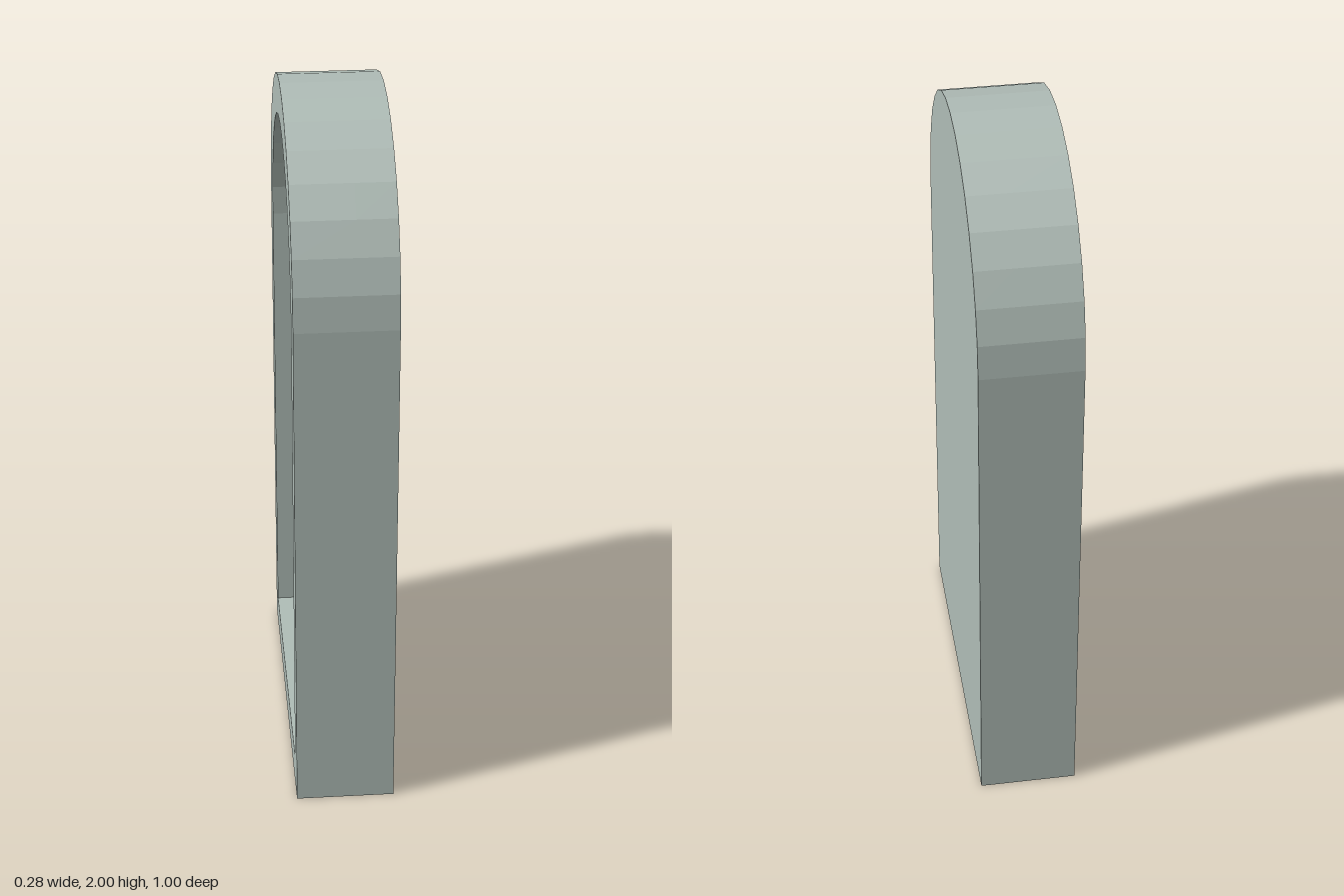
import * as THREE from 'three';

const stone = new THREE.MeshStandardMaterial({ color: 0xb0bdb7, flatShading: true });
stone.name = 'grey stone';
const glass = new THREE.MeshStandardMaterial({ color: 0xdada00, flatShading: true });
glass.name = 'yellow glass';

const FACE = 0.14;      // depth of the frame's open face
const PANE = -0.03;     // depth of the glass
const BAR_FACE = 0.07;  // depth of the bars' faces

// Round-headed outline: straight sides up to the spring line, then a faceted arch
function archPoints(halfWidth, bottom, spring, rise) {
  const points = [new THREE.Vector2(-halfWidth, bottom), new THREE.Vector2(halfWidth, bottom)];
  for (let i = 0; i <= 16; i++) {
    const a = (i / 16) * Math.PI;
    points.push(new THREE.Vector2(halfWidth * Math.cos(a), spring + rise * Math.sin(a)));
  }
  return points;
}

export function createModel() {
  const model = new THREE.Group();
  model.name = 'archedWindow';

  const add = (name, geometry, material) => {
    const mesh = new THREE.Mesh(geometry, material);
    mesh.name = name;
    model.add(mesh);
  };
  const extrude = (shape, from, to) =>
    new THREE.ExtrudeGeometry(shape, { depth: to - from, bevelEnabled: false }).translate(0, 0, from);
  const bar = (name, width, y0, y1) => {
    const depth = BAR_FACE - PANE;
    add(name, new THREE.BoxGeometry(width, y1 - y0, depth)
      .translate(0, (y0 + y1) / 2, PANE + depth / 2), stone);
  };

  const outer = archPoints(0.5, 0, 1.5, 0.5);
  const inner = archPoints(0.425, 0.09, 1.44, 0.45);

  // Solid back and open frame
  add('backSlab', extrude(new THREE.Shape(outer), -FACE, PANE), stone);
  const frame = new THREE.Shape(outer);
  frame.holes.push(new THREE.Path(inner));
  add('frame', extrude(frame, PANE, FACE), stone);

  // Recessed glass
  add('pane', extrude(new THREE.Shape(inner), PANE, PANE + 0.004), glass);

  // Upright and crossbars
  bar('uprightBar', 0.138, 0.09, 1.89);
  [[0.545, 0.68], [1.1, 1.19], [1.295, 1.435]].forEach(([y0, y1], i) =>
    bar(`crossbar${i + 1}`, 0.85, y0, y1));

  // Turn the open face towards -x
  model.children.forEach((mesh) => mesh.geometry.rotateY(-Math.PI / 2));
  return model;
}
